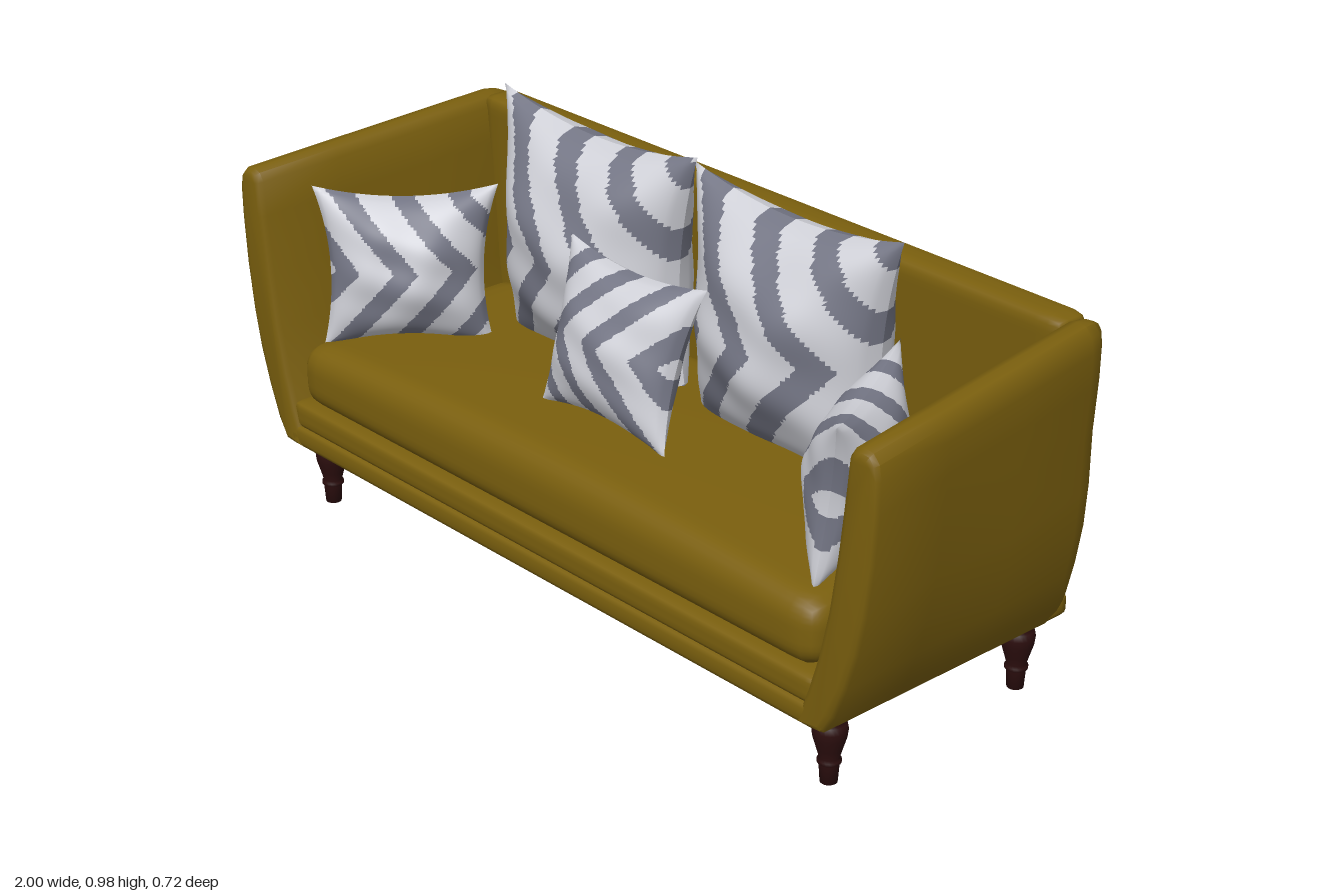
import * as THREE from 'three';
import { mergeVertices, toCreasedNormals } from 'three/addons/utils/BufferGeometryUtils.js';

const mat = (name, color) => {
  const m = new THREE.MeshStandardMaterial({ color });
  m.name = name;
  return m;
};

// Rounded box with enough vertices to be sculpted by a rule
function softBox(w, h, d, r, sculpt) {
  let g = new THREE.BoxGeometry(w, h, d, Math.ceil(w / 0.035), Math.ceil(h / 0.015), Math.ceil(d / 0.02));
  g.deleteAttribute('uv');
  g.deleteAttribute('normal');
  g = mergeVertices(g);
  const p = g.attributes.position, v = new THREE.Vector3(), q = new THREE.Vector3();
  const inner = new THREE.Vector3(w / 2 - r, h / 2 - r, d / 2 - r);
  for (let i = 0; i < p.count; i++) {
    v.fromBufferAttribute(p, i);
    q.copy(v).clamp(inner.clone().negate(), inner);
    v.sub(q).setLength(r).add(q);
    if (sculpt) sculpt(v);
    p.setXYZ(i, v.x, v.y, v.z);
  }
  g.computeVertexNormals();
  return g;
}

// Arm: curved crescent cross-section lofted from front to back
const ARM = [[0.87, 0.165], [0.9, 0.21], [0.93, 0.285], [0.957, 0.37], [0.976, 0.46], [0.991, 0.57], [0.999, 0.68],
  [1, 0.75], [0.994, 0.782], [0.978, 0.8], [0.955, 0.803], [0.935, 0.797], [0.923, 0.778], [0.915, 0.7],
  [0.9, 0.57], [0.88, 0.44], [0.855, 0.33], [0.83, 0.25], [0.8, 0.165]];

function armSection(z, inset) {
  const t = (0.36 - z) / 0.72, n = ARM.length;
  return ARM.map(([x, y], i) => {
    const a = ARM[(i + n - 1) % n], b = ARM[(i + 1) % n];
    const dx = b[0] - a[0], dy = b[1] - a[1], l = Math.hypot(dx, dy);
    const k = (y - 0.165) / 0.64;
    return new THREE.Vector3(
      x - (dy / l) * inset - 0.055 * t * Math.min(1, k * 1.6),
      y + (dx / l) * inset + 0.053 * t * k, z);
  });
}

function armGeometry(side) {
  const rings = [[0.36, 0.016], [0.356, 0.006], [0.346, 0], [0.15, 0], [-0.08, 0], [-0.29, 0],
    [-0.32, 0.006], [-0.341, 0.018], [-0.35, 0.032]].map(([z, d]) => armSection(z, d));
  const n = ARM.length, idx = [];
  const tri = (a, b, c) => (side > 0 ? idx.push(a, b, c) : idx.push(a, c, b));
  for (let r = 0; r < rings.length - 1; r++) {
    for (let i = 0; i < n; i++) {
      const a = r * n + i, b = r * n + (i + 1) % n;
      tri(a, a + n, b);
      tri(b, a + n, b + n);
    }
  }
  const last = (rings.length - 1) * n;
  const flat = rings[0].map((p) => new THREE.Vector2(p.x, p.y));
  THREE.ShapeUtils.triangulateShape(flat, []).forEach(([a, b, c]) => {
    tri(a, b, c);
    tri(last + a, last + c, last + b);
  });
  const g = new THREE.BufferGeometry();
  const pos = rings.flat().flatMap((p) => [p.x * side, p.y, p.z]);
  g.setAttribute('position', new THREE.Float32BufferAttribute(pos, 3));
  g.setIndex(idx);
  return toCreasedNormals(g, 0.75);
}

// Pillow: two puffed sheets with drawn-out corners and chevron stripes
function pillowGeometry(hw, hh, depth, period, dir, seed) {
  const N = 56, pos = [], light = [], dark = [];
  for (const face of [1, -1]) {
    const base = pos.length / 3;
    for (let j = 0; j <= N; j++) {
      for (let i = 0; i <= N; i++) {
        const u = (i / N) * 2 - 1, v = (j / N) * 2 - 1;
        const puff = Math.pow((1 - u * u) * (1 - v * v), 0.6);
        const fold = 1 + 0.07 * Math.sin(5 * u + 3 * v + seed) * Math.cos(6 * v - 2 * u + seed);
        pos.push(hw * u * (1 - 0.14 * (1 - v * v)) * (1 + 0.04 * v),
          hh * v * (1 - 0.14 * (1 - u * u)), face * depth * puff * fold);
      }
    }
    for (let j = 0; j < N; j++) {
      for (let i = 0; i < N; i++) {
        const a = base + j * (N + 1) + i, b = a + 1, c = a + N + 1, d = c + 1;
        const tris = face > 0 ? [[a, b, d], [a, d, c]] : [[a, d, b], [a, c, d]];
        for (const t of tris) {
          let x = 0, y = 0;
          for (const k of t) { x += pos[k * 3] / 3; y += pos[k * 3 + 1] / 3; }
          const s = (dir * x + Math.abs(y) * 0.85) / period + 10.2;
          (s - Math.floor(s) < 0.42 ? dark : light).push(...t);
        }
      }
    }
  }
  const g = new THREE.BufferGeometry();
  g.setAttribute('position', new THREE.Float32BufferAttribute(pos, 3));
  g.setIndex([...light, ...dark]);
  g.addGroup(0, light.length, 0);
  g.addGroup(light.length, dark.length, 1);
  g.computeVertexNormals();
  return g;
}

export function createModel() {
  const group = new THREE.Group();
  group.name = 'sofa';
  const fabric = mat('olive gold upholstery', 0x7a5f0e);
  const wood = mat('dark wood', 0x2c0e0e);
  const cloth = [mat('pale grey cloth', 0xd0d1d8), mat('slate grey stripe', 0x757786)];
  const add = (name, geo, material, x = 0, y = 0, z = 0) => {
    const m = new THREE.Mesh(geo, material);
    m.name = name;
    m.position.set(x, y, z);
    group.add(m);
    return m;
  };

  // Frame
  add('lowerRail', softBox(1.75, 0.05, 0.715, 0.012), fabric, 0, 0.19, 0.0025);
  add('upperRail', softBox(1.71, 0.062, 0.69, 0.014), fabric, 0, 0.24, 0.008);
  add('backrest', softBox(1.79, 0.69, 0.09, 0.025, (v) => {
    v.z += 0.015 * (v.y / 0.69 + 0.5);
    v.x *= 0.985 + 0.03 * v.y;
  }), fabric, 0, 0.51, -0.315);
  add('leftArm', armGeometry(1), fabric);
  add('rightArm', armGeometry(-1), fabric);

  // Seat cushion with a crowned top
  add('seatCushion', softBox(1.66, 0.15, 0.625, 0.055, (v) => {
    const cx = 1 - (v.x / 0.83) ** 2, cz = 1 - (v.z / 0.3125) ** 2;
    if (v.y > 0) v.y += (v.y / 0.075) * 0.03 * cx * (0.7 + 0.3 * cz);
  }), fabric, 0, 0.34, 0.033);

  // Turned legs
  const leg = new THREE.LatheGeometry([[0, 0], [0.018, 0], [0.021, 0.042], [0.025, 0.046], [0.025, 0.052],
    [0.021, 0.057], [0.027, 0.078], [0.035, 0.105], [0.037, 0.122], [0.034, 0.136], [0.026, 0.141],
    [0.033, 0.147], [0.033, 0.156], [0.028, 0.16], [0.028, 0.17]].map((p) => new THREE.Vector2(...p)), 24);
  for (const [sx, side] of [[1, 'Left'], [-1, 'Right']]) {
    for (const [sz, end] of [[1, 'front'], [-1, 'back']]) {
      add(`${end}${side}Leg`, leg, wood, sx * 0.815, 0, sz * 0.273);
    }
  }

  // Scatter pillows: half width, half height, half depth, stripe period, direction, position, lean, turn
  [
    ['rightBackPillow', 0.305, 0.3, 0.165, 0.17, 1, [-0.312, 0.682, -0.115], 0, 0],
    ['leftBackPillow', 0.292, 0.295, 0.165, 0.17, 1, [0.3, 0.678, -0.115], 0, 0],
    ['centrePillow', 0.205, 0.185, 0.09, 0.13, -1, [0, 0.615, 0.1], -0.28, 0],
    ['rightSidePillow', 0.2, 0.185, 0.1, 0.13, 1, [-0.695, 0.588, 0.125], -0.15, 0.87],
    ['leftSidePillow', 0.212, 0.185, 0.095, 0.13, -1, [0.692, 0.588, 0.095], -0.12, -1.08],
  ].forEach(([name, hw, hh, depth, period, dir, at, lean, turn], i) => {
    const p = add(name, pillowGeometry(hw, hh, depth, period, dir, i * 1.7), cloth, ...at);
    p.rotation.set(lean, turn, 0, 'YXZ');
  });
  return group;
}
